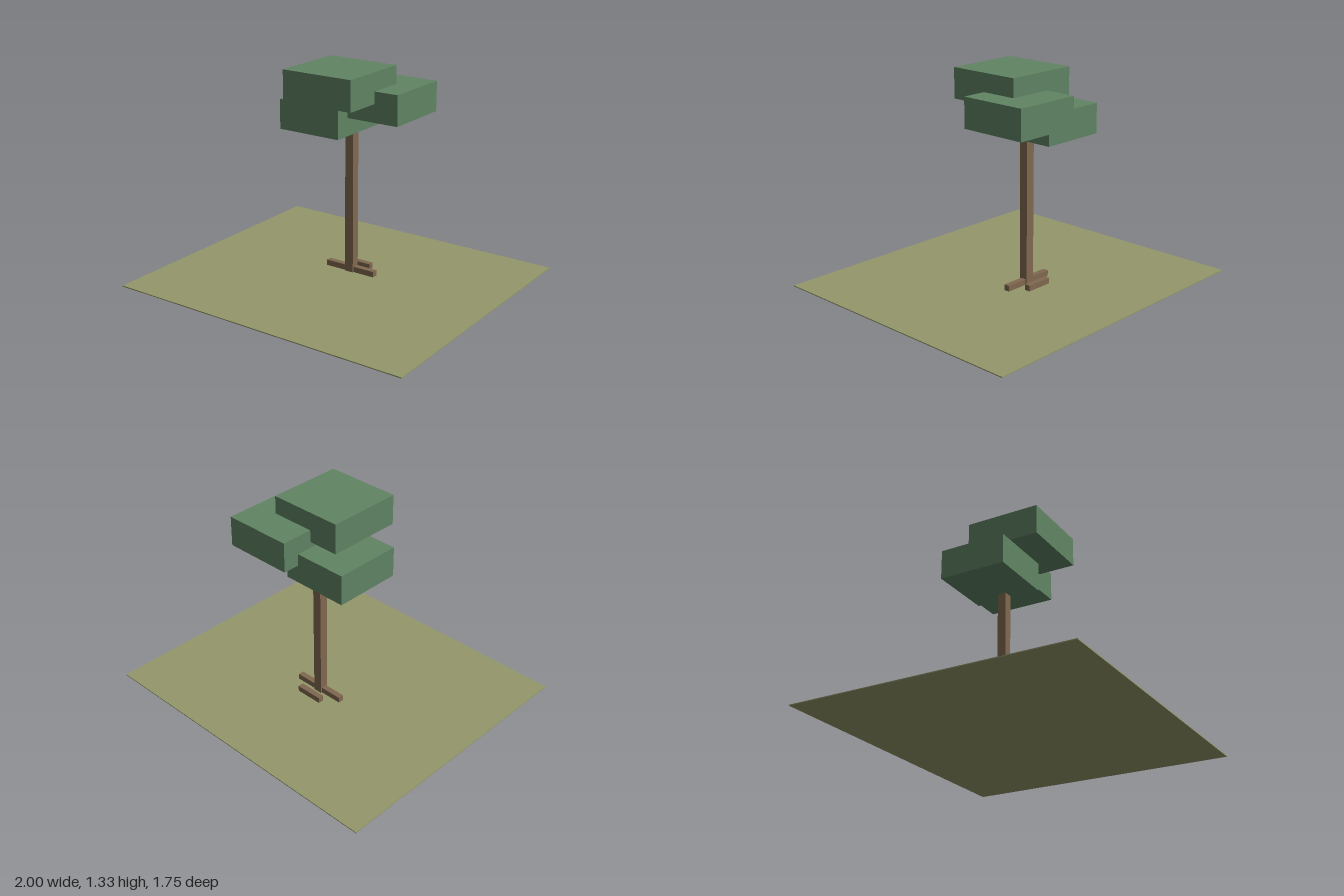
import * as THREE from 'three';

export function createModel() {
  const model = new THREE.Group();
  model.name = 'blockTree';

  const material = (name, color) => {
    const m = new THREE.MeshStandardMaterial({ color });
    m.name = name;
    return m;
  };
  const grass = material('grass', 0x94986a);
  const bark = material('bark', 0x80684f);
  const leaf = material('leaf', 0x608463);

  // Box given by its centre in x and z, its bottom and its size
  const block = (name, mat, [x, bottom, z], [w, h, d]) => {
    const mesh = new THREE.Mesh(new THREE.BoxGeometry(w, h, d), mat);
    mesh.name = name;
    mesh.position.set(x, bottom + h / 2, z);
    model.add(mesh);
  };

  // Thin ground slab
  block('ground', grass, [0, 0, 0], [2, 0.006, 1.75]);

  // Trunk with two root bars, one through it and one behind it
  block('trunk', bark, [0, 0.006, -0.123], [0.058, 0.925, 0.055]);
  block('longRoot', bark, [0, 0.006, -0.123], [0.35, 0.036, 0.037]);
  block('shortRoot', bark, [0, 0.006, -0.211], [0.177, 0.036, 0.037]);

  // Three overlapping slabs of foliage
  block('lowerFoliage', leaf, [-0.165, 0.915, -0.123], [0.428, 0.187, 0.428]);
  block('middleFoliage', leaf, [0.177, 1.028, -0.224], [0.437, 0.187, 0.437]);
  block('upperFoliage', leaf, [0, 1.14, 0], [0.476, 0.188, 0.476]);

  return model;
}
